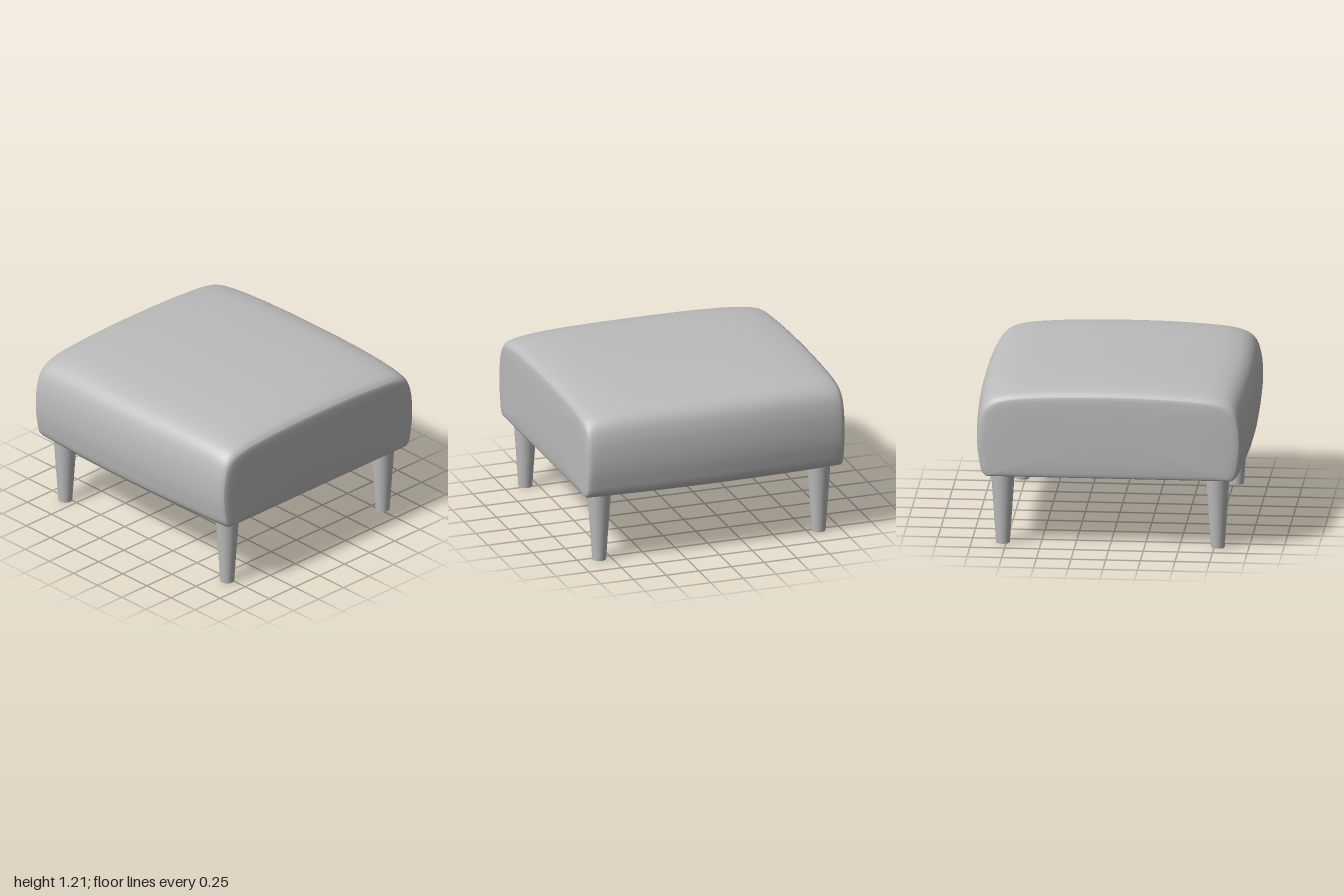
import * as THREE from 'three';
import { mergeVertices } from 'three/addons/utils/BufferGeometryUtils.js';

const BASE = 0.53; // height of the cushion's underside

// Skin a list of equal-length point rings, ordered along +x
function loft(rings) {
  const n = rings[0].length, index = [];
  for (let i = 0; i < rings.length - 1; i++) {
    for (let j = 0; j < n - 1; j++) {
      const a = i * n + j, b = a + n;
      index.push(a, b, b + 1, a, b + 1, a + 1);
    }
  }
  let g = new THREE.BufferGeometry();
  g.setAttribute('position', new THREE.Float32BufferAttribute(rings.flat(2), 3));
  g.setIndex(index);
  g = mergeVertices(g, 1e-5);
  g.computeVertexNormals();
  return g;
}

// Cushion cross-section [z, y]: front bottom edge, over the top, to the back
function cushionProfile() {
  const half = [
    [0.93, 0.53], [0.955, 0.56], [0.975, 0.65], [0.988, 0.75], [0.99, 0.86], [0.978, 0.98],
    [0.945, 1.08], [0.885, 1.14], [0.78, 1.175], [0.6, 1.195], [0.3, 1.21],
  ];
  const pts = [...half, [0, 1.214], ...half.slice().reverse().map(([z, y]) => [-z, y])];
  const curve = new THREE.CatmullRomCurve3(pts.map(([z, y]) => new THREE.Vector3(0, y, z)), false, 'centripetal');
  return curve.getPoints(88).map((p) => [p.z, p.y]);
}

export function createModel() {
  const model = new THREE.Group();
  const grey = new THREE.MeshStandardMaterial({ color: 0xbcbcbc });
  grey.name = 'plain grey';
  const add = (geometry, name, parent = model) => {
    const mesh = new THREE.Mesh(geometry, grey);
    mesh.name = name;
    parent.add(mesh);
    return mesh;
  };

  const cushion = new THREE.Group();
  cushion.name = 'cushion';
  model.add(cushion);

  // Stations from the middle outwards: x, depth scale, height scale
  const stations = [
    [0, 1, 1], [0.25, 0.998, 1], [0.5, 0.99, 0.998], [0.7, 0.98, 0.988], [0.82, 0.973, 0.973],
    [0.9, 0.967, 0.955], [0.945, 0.962, 0.937], [0.965, 0.956, 0.92], [0.976, 0.947, 0.903],
  ];
  const all = [...stations.slice(1).reverse().map(([x, d, h]) => [-x, d, h]), ...stations];
  const profile = cushionProfile();
  const section = ([x, d, h]) => profile.map(([z, y]) => [x, BASE + (y - BASE) * h, z * d]);
  const rings = all.map(section);
  add(loft(rings), 'cushionCover', cushion);

  // Flat underside
  add(loft(rings.map((r) => [r[r.length - 1], r[0]])), 'cushionUnderside', cushion);

  // Gently domed side panels: inset factor, x
  const dome = [[1, 0.976], [0.985, 0.984], [0.95, 0.989], [0.88, 0.993], [0.7, 0.997], [0.4, 0.999], [0, 1]];
  const rim = rings[rings.length - 1].slice();
  const zBack = rim[rim.length - 1][2];
  for (let k = 1; k <= 12; k++) rim.push([0, BASE, zBack * (1 - k / 6)]);
  const midY = 0.82;
  for (const side of [1, -1]) {
    const panel = dome.map(([f, x]) => rim.map(([, y, z]) => [side * x, midY + (y - midY) * f, z * f]));
    if (side < 0) panel.reverse();
    add(loft(panel), side > 0 ? 'leftSidePanel' : 'rightSidePanel', cushion);
  }

  // Tapered round legs
  const legGeometry = new THREE.CylinderGeometry(0.086, 0.05, BASE + 0.005, 32);
  for (const [zName, z] of [['front', 0.775], ['back', -0.775]]) {
    for (const [xName, x] of [['Left', 0.84], ['Right', -0.84]]) {
      add(legGeometry, `${zName}${xName}Leg`).position.set(x, (BASE + 0.005) / 2, z);
    }
  }
  return model;
}
